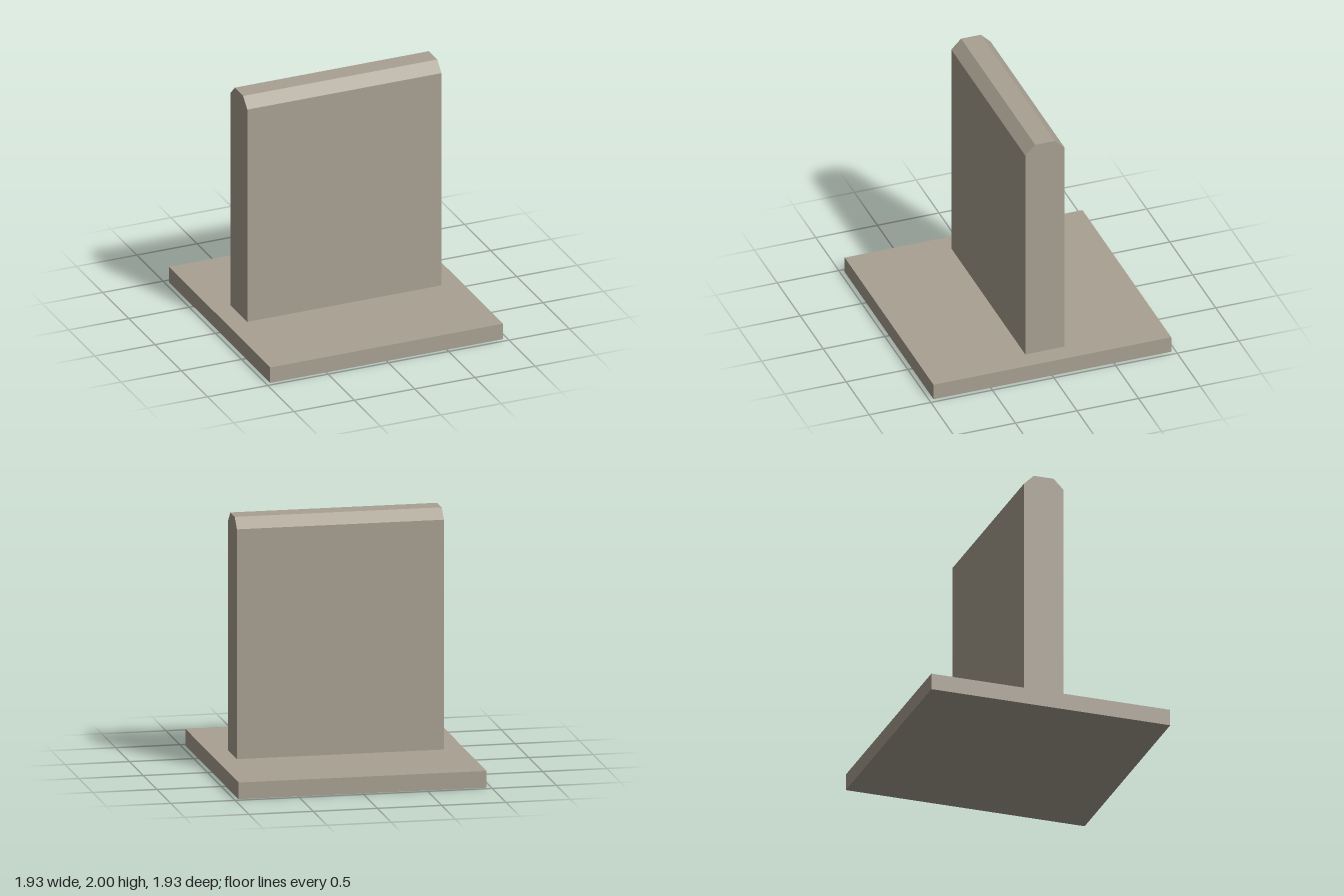
import * as THREE from 'three';

export function createModel() {
  const model = new THREE.Group();
  model.name = 'uprightSlabOnBase';

  const stone = new THREE.MeshStandardMaterial({ color: 0xa8a092 });
  stone.name = 'warm grey stone';

  const baseHeight = 0.13, height = 2;
  const halfWidth = 0.805, halfDepth = 0.16, bevel = 0.08;

  // Square base plate
  const base = new THREE.Mesh(new THREE.BoxGeometry(1.93, baseHeight, 1.93), stone);
  base.name = 'basePlate';
  base.position.y = baseHeight / 2;
  model.add(base);

  // Upright slab: side profile with bevelled top edges, extruded along x
  const profile = new THREE.Shape([
    [-halfDepth, baseHeight],
    [halfDepth, baseHeight],
    [halfDepth, height - bevel],
    [halfDepth - bevel, height],
    [-halfDepth + bevel, height],
    [-halfDepth, height - bevel],
  ].map(([z, y]) => new THREE.Vector2(z, y)));
  const slabGeometry = new THREE.ExtrudeGeometry(profile, { depth: halfWidth * 2, bevelEnabled: false });
  slabGeometry.translate(0, 0, -halfWidth);
  slabGeometry.rotateY(Math.PI / 2);
  const slab = new THREE.Mesh(slabGeometry, stone);
  slab.name = 'uprightSlab';
  model.add(slab);

  return model;
}
